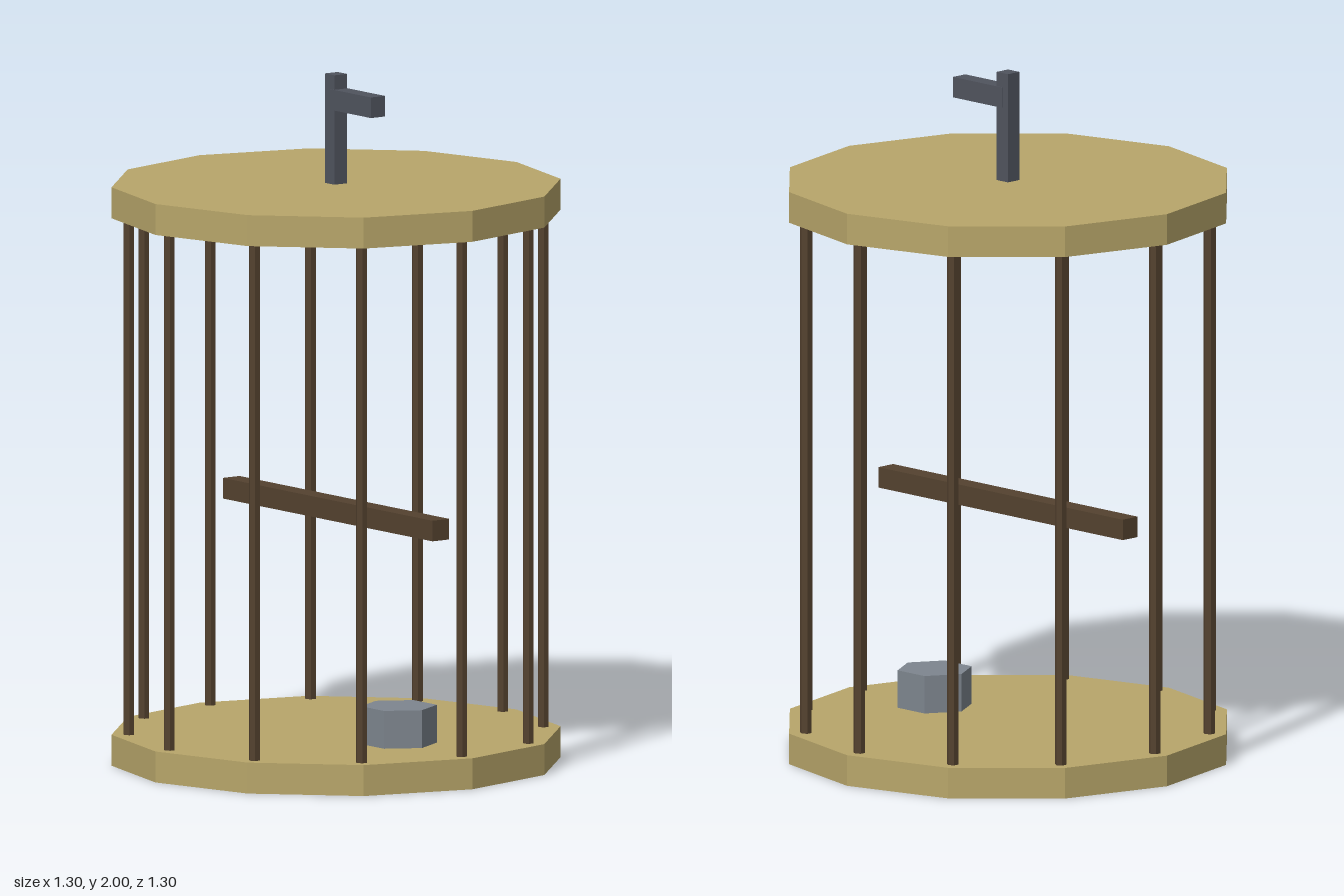
import * as THREE from 'three';

const material = (name, color) => {
  const m = new THREE.MeshStandardMaterial({ color, flatShading: true });
  m.name = name;
  return m;
};

export function createModel() {
  const model = new THREE.Group();
  model.name = 'cage';

  const paleWood = material('pale wood', 0xb8a66a);
  const darkWood = material('dark wood', 0x54422f);
  const iron = material('dark iron', 0x50545e);
  const pewter = material('pewter', 0x7e868f);

  const add = (name, geometry, mat, x, y, z = 0) => {
    const mesh = new THREE.Mesh(geometry, mat);
    mesh.name = name;
    mesh.position.set(x, y, z);
    model.add(mesh);
    return mesh;
  };

  // Twelve-sided floor and roof discs
  const disc = new THREE.CylinderGeometry(0.65, 0.65, 0.09, 12);
  add('floor', disc, paleWood, 0, 0.045);
  add('roof', disc, paleWood, 0, 1.637);

  // Ring of bars, one at each corner of the discs
  const bar = new THREE.CylinderGeometry(0.017, 0.017, 1.53, 6);
  for (let i = 0; i < 12; i++) {
    const a = (i * Math.PI) / 6;
    add('bar', bar, darkWood, 0.6 * Math.sin(a), 0.84, 0.6 * Math.cos(a));
  }

  // Perch across the middle
  add('perch', new THREE.BoxGeometry(1, 0.06, 0.06), darkWood, 0, 0.735);

  // Hanging post with its side arm
  add('hangerPost', new THREE.BoxGeometry(0.046, 0.33, 0.046), iron, 0, 1.835);
  add('hangerArm', new THREE.BoxGeometry(0.2, 0.06, 0.05), iron, 0.1, 1.928);

  // Six-sided food cup on the floor
  const cup = add('foodCup', new THREE.CylinderGeometry(0.11, 0.11, 0.12, 6), pewter, 0.3, 0.14);
  cup.rotation.y = Math.PI / 6;

  return model;
}
